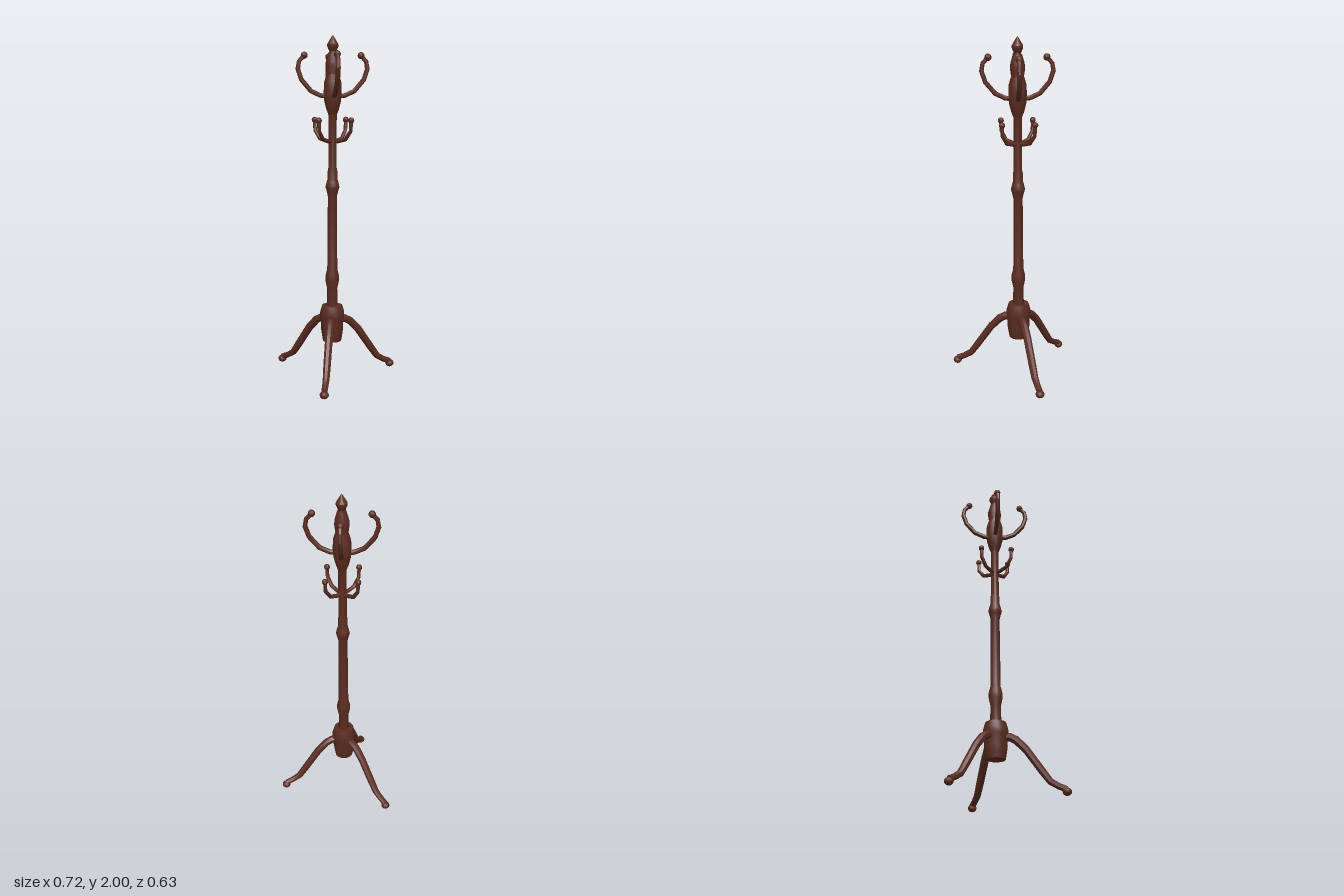
import * as THREE from 'three';
import { toCreasedNormals } from 'three/addons/utils/BufferGeometryUtils.js';

const wood = new THREE.MeshStandardMaterial({ color: 0x5a2c21 });
wood.name = 'darkWood';

function add(parent, geometry, name) {
  const mesh = new THREE.Mesh(geometry, wood);
  mesh.name = name;
  parent.add(mesh);
  return mesh;
}

// Faceted rod along a bent path in the x-y plane; each point is [x, y, radius]
function rod(path, sides = 8) {
  const pos = [], idx = [], n = path.length;
  path.forEach(([x, y, r], i) => {
    const a = path[Math.max(i - 1, 0)], b = path[Math.min(i + 1, n - 1)];
    const t = new THREE.Vector2(b[0] - a[0], b[1] - a[1]).normalize();
    for (let k = 0; k < sides; k++) {
      const ang = ((k + 0.5) / sides) * Math.PI * 2;
      const u = Math.cos(ang) * r, w = Math.sin(ang) * r;
      pos.push(x - t.y * u, y + t.x * u, w);
    }
  });
  for (let i = 0; i < n - 1; i++) {
    for (let k = 0; k < sides; k++) {
      const a = i * sides + k, b = i * sides + ((k + 1) % sides);
      idx.push(a, b, a + sides, b, b + sides, a + sides);
    }
  }
  // end caps
  const last = (n - 1) * sides;
  for (let k = 1; k < sides - 1; k++) {
    idx.push(0, k + 1, k, last, last + k, last + k + 1);
  }
  const g = new THREE.BufferGeometry();
  g.setAttribute('position', new THREE.Float32BufferAttribute(pos, 3));
  g.setIndex(idx);
  return toCreasedNormals(g, 0.5);
}

function lathe(profile, sides = 16) {
  const points = profile.map(([r, y]) => new THREE.Vector2(r, y));
  return toCreasedNormals(new THREE.LatheGeometry(points, sides), 0.5);
}

export function createModel() {
  const model = new THREE.Group();
  model.name = 'coatStand';
  const stand = new THREE.Group();
  stand.name = 'stand';
  stand.position.z = 0.095;
  model.add(stand);

  // Hub that carries the legs
  add(stand, lathe([
    [0, 0.215], [0.055, 0.215], [0.061, 0.25], [0.067, 0.29], [0.067, 0.34],
    [0.072, 0.36], [0.072, 0.39], [0.06, 0.43], [0, 0.43],
  ]), 'hub');

  // Turned pole with two rings and a swollen head
  add(stand, lathe([
    [0.033, 0.42], [0.03, 0.53], [0.04, 0.575], [0.04, 0.61], [0.03, 0.65],
    [0.027, 1.08], [0.034, 1.11], [0.041, 1.135], [0.034, 1.165], [0.029, 1.18],
    [0.028, 1.23], [0.024, 1.25], [0.024, 1.55], [0.036, 1.58], [0.049, 1.63],
    [0.052, 1.68], [0.05, 1.735], [0.036, 1.78], [0.042, 1.82], [0.04, 1.85],
    [0.026, 1.9], [0, 1.9],
  ]), 'pole');

  // Pointed finial
  add(stand, lathe([
    [0.023, 1.89], [0.02, 1.908], [0.032, 1.935], [0.032, 1.948],
    [0.018, 1.972], [0, 2.0],
  ]), 'finial');

  // Three curved legs with flattened round feet
  const legPath = [
    [0.03, 0.345, 0.024], [0.08, 0.342, 0.024], [0.115, 0.323, 0.024],
    [0.17, 0.266, 0.023], [0.257, 0.14, 0.022], [0.3, 0.08, 0.02],
    [0.345, 0.053, 0.018], [0.385, 0.036, 0.018],
  ];
  for (let i = 0; i < 3; i++) {
    const leg = new THREE.Group();
    leg.name = 'leg' + (i + 1);
    leg.rotation.y = Math.PI / 2 + (i * Math.PI * 2) / 3;
    stand.add(leg);
    add(leg, rod(legPath), 'legRod');
    const foot = add(leg, new THREE.SphereGeometry(0.026, 12, 8), 'foot');
    foot.scale.y = 0.85;
    foot.position.set(0.388, 0.0221, 0);
  }

  // Four hooks per tier, each ending in a small ball
  const addHooks = (name, path, ball, turn) => {
    const [x, y] = path[path.length - 1];
    for (let i = 0; i < 4; i++) {
      const hook = new THREE.Group();
      hook.name = name + (i + 1);
      hook.rotation.y = turn + (i * Math.PI) / 2;
      stand.add(hook);
      add(hook, rod(path), 'hookRod');
      add(hook, new THREE.SphereGeometry(ball, 10, 8), 'hookBall').position.set(x, y, 0);
    }
  };
  addHooks('upperHook', [
    [0.03, 1.655, 0.014], [0.07, 1.66, 0.014], [0.125, 1.685, 0.014],
    [0.18, 1.75, 0.014], [0.2, 1.81, 0.014], [0.193, 1.852, 0.013], [0.163, 1.885, 0.012],
  ], 0.02, Math.PI / 4);
  addHooks('lowerHook', [
    [0, 1.4, 0.012], [0.04, 1.4, 0.012], [0.09, 1.412, 0.012],
    [0.127, 1.46, 0.011], [0.13, 1.52, 0.011],
  ], 0.0175, 0);

  return model;
}
